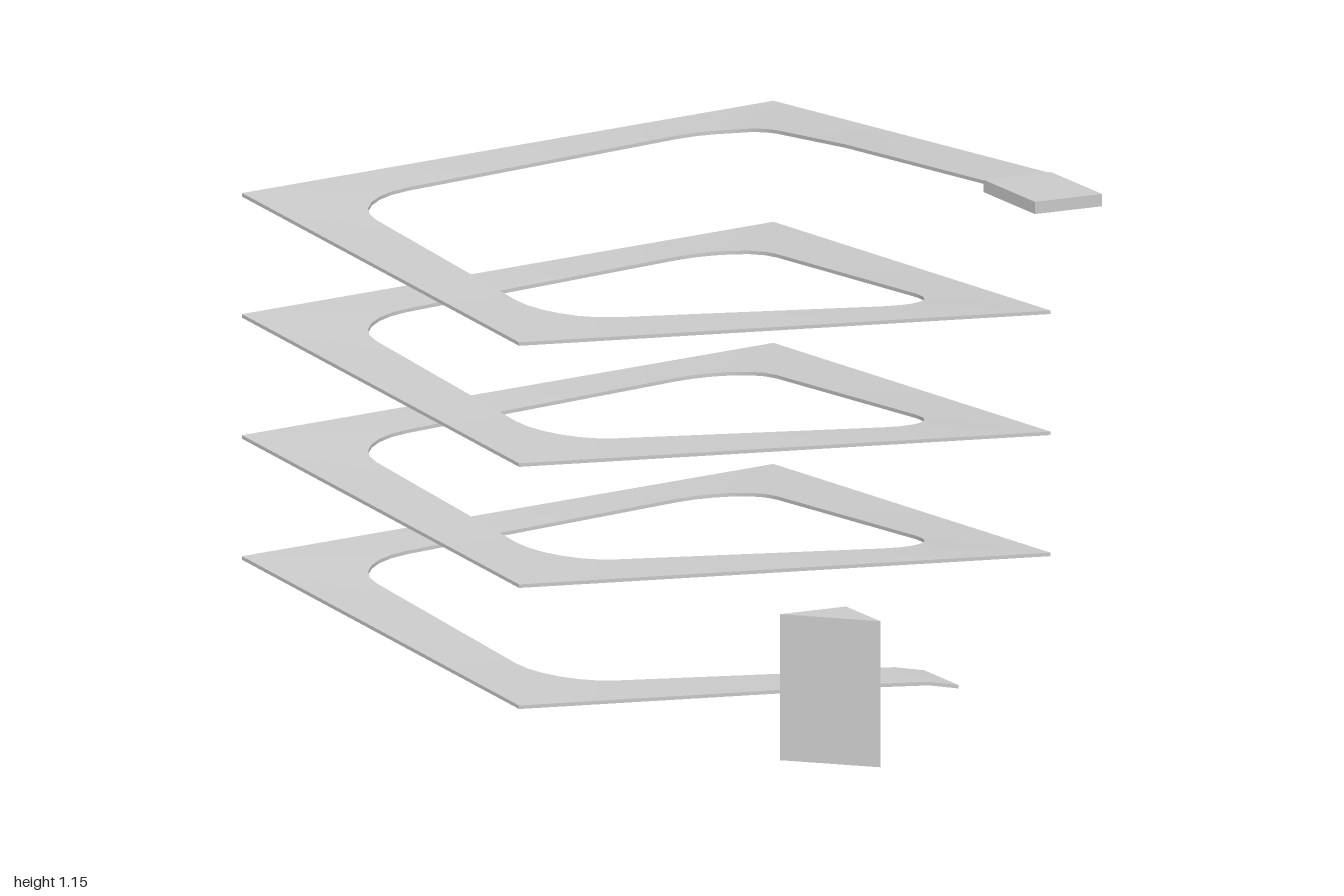
import * as THREE from 'three';
import { toCreasedNormals } from 'three/addons/utils/BufferGeometryUtils.js';

const OUT = 0.664, INN = 0.5, R = 0.167, C = INN - R; // square well and its inner corner radius
const ZC = -0.333;                                    // z of the ramp's axis
const THICK = 0.008, BASE = 0.078, RISE = 0.0688;     // slab thickness, first corner, rise per side
const LAST = 14, LAST_RISE = 0.106;                   // the final side climbs more steeply

// Distance from the axis to the inner rounded square along an angle
function innerRadius(a) {
  const p = Math.abs(Math.cos(a)), q = Math.abs(Math.sin(a));
  const c = Math.max(p, q), s = Math.min(p, q);
  if (INN * s / c <= C) return INN / c;
  const d = C * (c + s);
  return d + Math.sqrt(d * d - 2 * C * C + R * R);
}

// Height of the walking surface, straight along each side
function height(a) {
  const s = (a - Math.PI / 4) / (Math.PI / 2);
  const n = Math.min(LAST, Math.floor(s + 1e-9));
  const f = (1 + Math.tan((s - n - 0.5) * Math.PI / 2)) / 2;
  return BASE + RISE * n + (n === LAST ? LAST_RISE : RISE) * f;
}

// Cross-section: outer top, inner top, inner bottom, outer bottom
function section(ox, oz, ix, iz, y) {
  return [
    [ox, y, oz + ZC], [ix, y, iz + ZC],
    [ix, y - THICK, iz + ZC], [ox, y - THICK, oz + ZC],
  ];
}

function loft(rings) {
  const pos = [];
  const quad = (a, b, c, d) => pos.push(...a, ...b, ...c, ...a, ...c, ...d);
  for (let i = 0; i < rings.length - 1; i++) {
    for (let j = 0; j < 4; j++) {
      const k = (j + 1) % 4;
      quad(rings[i][j], rings[i][k], rings[i + 1][k], rings[i + 1][j]);
    }
  }
  const s = rings[0], e = rings[rings.length - 1];
  quad(s[3], s[2], s[1], s[0]);
  quad(e[0], e[1], e[2], e[3]);
  const g = new THREE.BufferGeometry();
  g.setAttribute('position', new THREE.Float32BufferAttribute(pos, 3));
  return toCreasedNormals(g, 0.5);
}

function rampGeometry() {
  const rings = [];
  // straight-cut foot on the front side
  for (const [x, y] of [[0.434, THICK], [0.36, 0.023], [0.25, 0.031]]) {
    rings.push(section(x, OUT, x, INN, y));
  }
  // square spiral around the open well
  for (let k = -4; k <= 360; k++) {
    const a = k * Math.PI / 48, s = -Math.sin(a), c = Math.cos(a);
    const ro = OUT / Math.max(Math.abs(s), Math.abs(c)), ri = innerRadius(a);
    rings.push(section(ro * s, ro * c, ri * s, ri * c, height(a)));
  }
  // straight run up to the landing
  rings.push(section(OUT, OUT, INN, OUT, BASE + RISE * LAST + LAST_RISE));
  return loft(rings);
}

export function createModel() {
  const group = new THREE.Group();
  const material = new THREE.MeshStandardMaterial({ color: 0xcccccc });
  const add = (name, geometry) => {
    const mesh = new THREE.Mesh(geometry, material);
    mesh.name = name;
    group.add(mesh);
    return mesh;
  };

  add('spiralRamp', rampGeometry());

  // landing slab at the head of the ramp
  add('topLanding', new THREE.BoxGeometry(0.168, 0.028, 0.245)).position.set(0.58, 1.136, 0.455);

  // free-standing triangular post; shape y becomes -z
  const triangle = new THREE.Shape([
    new THREE.Vector2(-0.275, -0.835),
    new THREE.Vector2(-0.11, -1),
    new THREE.Vector2(-0.11, -0.835),
  ]);
  const post = new THREE.ExtrudeGeometry(triangle, { depth: 0.332, bevelEnabled: false });
  post.rotateX(-Math.PI / 2);
  add('triangularPost', post).position.y = 0.015;

  return group;
}
